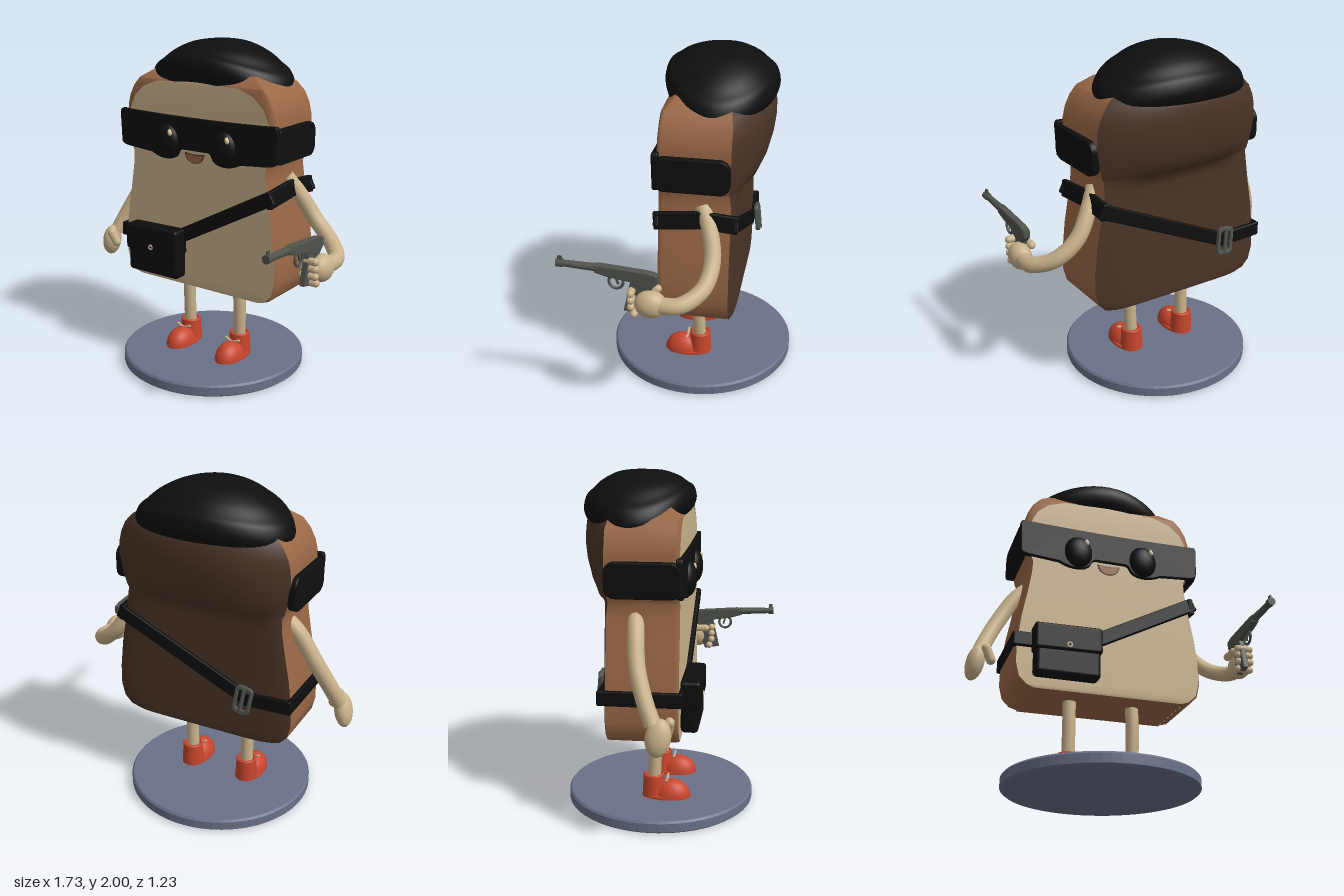
import * as THREE from 'three';
import { RoundedBoxGeometry } from 'three/addons/geometries/RoundedBoxGeometry.js';

const CX = -0.055; // centre line of the body
const mat = (name, color, side = THREE.FrontSide) => {
  const m = new THREE.MeshStandardMaterial({ color, side });
  m.name = name;
  return m;
};

// Surface from f(u, v), facing du x dv
function grid(nu, nv, f) {
  const pos = [], index = [];
  for (let j = 0; j <= nv; j++) for (let i = 0; i <= nu; i++) pos.push(...f(i / nu, j / nv, i, j));
  for (let j = 0; j < nv; j++) for (let i = 0; i < nu; i++) {
    const a = j * (nu + 1) + i, d = a + nu + 1;
    index.push(a, a + 1, d + 1, a, d + 1, d);
  }
  const g = new THREE.BufferGeometry();
  g.setAttribute('position', new THREE.Float32BufferAttribute(pos, 3));
  g.setIndex(index);
  g.computeVertexNormals();
  return g;
}

const poly = (pts) => new THREE.Shape(pts.map(p => new THREE.Vector2(...p)));

function roundRect(w, h, r, S = THREE.Shape) {
  const s = new S(), x = w / 2 - r, y = h / 2 - r;
  s.absarc(x, y, r, 0, Math.PI / 2);
  s.absarc(-x, y, r, Math.PI / 2, Math.PI);
  s.absarc(-x, -y, r, Math.PI, Math.PI * 1.5);
  s.absarc(x, -y, r, Math.PI * 1.5, Math.PI * 2);
  return s;
}

function extrude(shape, depth, bevel = 0) {
  const g = new THREE.ExtrudeGeometry(shape, {
    depth: depth - 2 * bevel, bevelEnabled: bevel > 0, bevelSize: bevel, bevelThickness: bevel,
    bevelOffset: -bevel, bevelSegments: 2, curveSegments: 10 });
  return g.translate(0, 0, -(depth - 2 * bevel) / 2);
}

// Shape drawn in (z, y), thick along x
const sideExtrude = (shape, depth, bevel) => extrude(shape, depth, bevel).rotateY(-Math.PI / 2);
const tube = (pts, r) => new THREE.TubeGeometry(
  new THREE.CatmullRomCurve3(pts.map(p => new THREE.Vector3(...p))), 28, r, 14);

export function createModel() {
  const root = new THREE.Group();
  root.name = 'toastFigure';
  const cream = mat('cream', 0xc9b28b), crust = mat('crust', 0x9a6846), dark = mat('darkCrust', 0x4a3427);
  const black = mat('black', 0x0e0e0e), red = mat('red', 0xc8452c), metal = mat('gunMetal', 0x50534c);
  const slate = mat('slate', 0x6a7188), shine = mat('shine', 0xe2cda6);
  const add = (name, geo, m, p = [0, 0, 0], r = [0, 0, 0], s = [1, 1, 1], parent = root) => {
    const mesh = new THREE.Mesh(geo, m);
    mesh.name = name;
    mesh.position.set(...p);
    mesh.rotation.set(...r);
    mesh.scale.set(...s);
    parent.add(mesh);
    return mesh;
  };
  const ball = new THREE.SphereGeometry(1, 24, 16);

  // Base
  add('base', new THREE.LatheGeometry([[0, 0], [0.55, 0], [0.565, 0.012], [0.565, 0.063], [0.555, 0.075], [0, 0.075]]
    .map(p => new THREE.Vector2(...p)), 64).toNonIndexed(), slate, [CX, 0, -0.055]).geometry.computeVertexNormals();

  // Body rows: y, half width, front half width, front z, back corner z, back z, roundness of the back
  const rows = [
    [0.52, 0.45, 0.44, 0.11, -0.29, -0.31, 8], [0.535, 0.50, 0.485, 0.115, -0.29, -0.315, 8],
    [0.58, 0.545, 0.53, 0.115, -0.29, -0.315, 8], [0.66, 0.565, 0.55, 0.115, -0.29, -0.315, 8],
    [0.78, 0.563, 0.55, 0.115, -0.29, -0.315, 8], [0.95, 0.543, 0.53, 0.115, -0.29, -0.315, 8],
    [1.1, 0.515, 0.502, 0.115, -0.29, -0.315, 8], [1.24, 0.492, 0.48, 0.115, -0.29, -0.315, 8],
    [1.315, 0.488, 0.476, 0.115, -0.28, -0.32, 8], [1.335, 0.5, 0.485, 0.115, -0.28, -0.395, 2.6],
    [1.42, 0.523, 0.505, 0.115, -0.285, -0.435, 2.4], [1.52, 0.535, 0.515, 0.115, -0.29, -0.46, 2.4],
    [1.6, 0.53, 0.49, 0.115, -0.29, -0.47, 2.4], [1.66, 0.515, 0.46, 0.115, -0.29, -0.47, 2.4],
    [1.72, 0.485, 0.395, 0.112, -0.29, -0.465, 2.4], [1.76, 0.45, 0.29, 0.11, -0.28, -0.45, 2.4],
    [1.77, 0.44, 0.01, 0.108, -0.28, -0.44, 2.4], [1.82, 0.36, 0.01, 0.06, -0.26, -0.39, 2.4],
    [1.86, 0.2, 0.01, -0.02, -0.22, -0.3, 2.4], [1.87, 0.01, 0.01, -0.1, -0.15, -0.16, 2.4]];
  const n = rows.length - 1;
  const side = (k, j, sign) => {
    const [y, w, fw, zf, zb] = rows[j], e = Math.min(w - fw, 0.012);
    const p = [[fw, zf], [w - e, zf - 0.006], [w, zf - 0.025], [w, (zf + zb) / 2], [w, zb]][k];
    return [CX + sign * p[0], y, p[1]];
  };
  add('breadFace', grid(2, n, (u, v, i, j) => [CX + (2 * u - 1) * rows[j][2], rows[j][0], rows[j][3]]), cream);
  add('crustLeft', grid(4, n, (u, v, i, j) => side(i, j, 1)), crust);
  add('crustRight', grid(4, n, (u, v, i, j) => side(4 - i, j, -1)), crust);
  add('breadBack', grid(28, n, (u, v, i, j) => {
    const [y, w, , , zc, zb, p] = rows[j], t = Math.cos(u * Math.PI);
    return [CX + t * w, y, zc + (zb - zc) * (1 - Math.abs(t) ** p)];
  }), dark);
  add('breadBottom', grid(1, 1, (u, v) => [CX + (2 * u - 1) * 0.45, 0.521, -0.31 + v * 0.42]), crust);

  // Cap: rolled rim and dome, drooping at the sides and leaning back
  const cap = new THREE.LatheGeometry(new THREE.SplineCurve([[0, 1.76], [0.8, 1.755], [0.93, 1.76], [1, 1.82],
    [0.95, 1.885], [0.84, 1.915], [0.68, 1.955], [0.42, 1.99], [0.15, 2], [0, 2]]
    .map(p => new THREE.Vector2(...p))).getPoints(44).map(p => new THREE.Vector2(Math.max(p.x, 0), Math.min(p.y, 2))), 56);
  const cp = cap.attributes.position;
  for (let i = 0; i < cp.count; i++) {
    const x = cp.getX(i), z = cp.getZ(i);
    cp.setXYZ(i, x * 0.47, cp.getY(i) - 0.09 * x * x + 0.025 * z * Math.abs(z), z * 0.32);
  }
  cap.computeVertexNormals();
  add('cap', cap, black, [CX - 0.012, 0, -0.165]);

  // Mask
  const m = new THREE.Shape();
  m.moveTo(-0.55, 1.575);
  m.quadraticCurveTo(0, 1.555, 0.55, 1.575);
  m.quadraticCurveTo(0.565, 1.57, 0.565, 1.54);
  m.lineTo(0.558, 1.37);
  m.quadraticCurveTo(0.55, 1.35, 0.5, 1.345);
  m.lineTo(0.32, 1.33);
  m.bezierCurveTo(0.25, 1.29, 0.14, 1.29, 0.12, 1.35);
  m.quadraticCurveTo(0.11, 1.375, 0.08, 1.372);
  m.lineTo(-0.08, 1.372);
  m.quadraticCurveTo(-0.11, 1.375, -0.12, 1.35);
  m.bezierCurveTo(-0.14, 1.29, -0.25, 1.29, -0.32, 1.33);
  m.lineTo(-0.5, 1.345);
  m.quadraticCurveTo(-0.55, 1.35, -0.558, 1.37);
  m.lineTo(-0.565, 1.54);
  m.quadraticCurveTo(-0.565, 1.57, -0.55, 1.575);
  add('maskFront', extrude(m, 0.035, 0.006), black, [CX, 0, 0.118]);
  for (const s of [-1, 1]) {
    add('maskSide', sideExtrude(roundRect(0.42, 0.2, 0.06), 0.05, 0.008), black, [CX + s * 0.54, 1.455, -0.08]);
    add('eye', ball, black, [CX + s * 0.205, 1.41, 0.125], [0, 0, 0], [0.088, 0.105, 0.055]);
    add('eyeShine', ball, shine, [CX + s * 0.205 + 0.045, 1.47, 0.162], [0, 0, 0.25], [0.013, 0.02, 0.012]);
  }

  // Mouth
  const smile = new THREE.Shape();
  smile.moveTo(-0.07, 0.035);
  smile.quadraticCurveTo(0, 0.02, 0.07, 0.035);
  smile.bezierCurveTo(0.065, -0.05, -0.065, -0.05, -0.07, 0.035);
  add('mouth', extrude(smile, 0.006), dark, [CX - 0.01, 1.322, 0.118]);
  add('tongue', extrude(smile, 0.006), crust, [CX - 0.01, 1.32, 0.121], [0, 0, 0], [0.85, 0.85, 1]);

  // Strap
  const strap = (x1, y1, x2, y2, z) => add('strap',
    new RoundedBoxGeometry(Math.hypot(x2 - x1, y2 - y1), 0.085, 0.03, 2, 0.008), black,
    [(x1 + x2) / 2, (y1 + y2) / 2, z], [0, 0, Math.atan2(y2 - y1, x2 - x1)]);
  strap(-0.2, 0.815, 0.48, 1.175, 0.122);
  strap(-0.63, 0.8, -0.45, 0.8, 0.122);
  strap(-0.36, 0.79, 0.48, 1.175, -0.322);
  strap(-0.63, 0.8, -0.33, 0.79, -0.322);
  add('strapSide', new RoundedBoxGeometry(0.035, 0.1, 0.25, 2, 0.008), black, [0.459, 1.165, 0.015], [0.1, 0, 0.16]);
  add('strapSide', new RoundedBoxGeometry(0.035, 0.1, 0.24, 2, 0.008), black, [0.459, 1.172, -0.215], [-0.08, 0, 0.16]);
  add('strapSide', new RoundedBoxGeometry(0.03, 0.085, 0.47, 2, 0.008), black, [-0.618, 0.8, -0.1]);

  // Buckle
  const frame = roundRect(0.11, 0.17, 0.03);
  frame.holes.push(roundRect(0.07, 0.12, 0.018, THREE.Path));
  add('buckle', extrude(frame, 0.025, 0.005), metal, [-0.35, 0.8, -0.36], [0.12, 0, 0.15]);
  add('buckleBar', new THREE.CylinderGeometry(0.012, 0.012, 0.15, 10), metal, [-0.35, 0.8, -0.37], [0.12, 0, 0.15]);

  // Pouch
  add('pouch', new RoundedBoxGeometry(0.38, 0.28, 0.1, 3, 0.025), black, [-0.325, 0.715, 0.165]);
  add('pouchFlap', new RoundedBoxGeometry(0.395, 0.16, 0.115, 3, 0.018), black, [-0.327, 0.8, 0.17], [0, 0, 0.02]);
  add('pouchButton', new THREE.TorusGeometry(0.013, 0.004, 8, 20), shine, [-0.325, 0.755, 0.228]);

  // Right arm, hanging
  add('rightArm', tube([[-0.5, 1.25, -0.13], [-0.58, 1.17, -0.12], [-0.68, 1.0, -0.1], [-0.755, 0.84, -0.05],
    [-0.8, 0.72, 0]], 0.047), cream);
  add('rightHand', ball, cream, [-0.82, 0.66, 0.03], [0.15, 0, -0.2], [0.052, 0.105, 0.07]);
  add('rightThumb', new THREE.CapsuleGeometry(0.028, 0.07, 6, 12), cream, [-0.755, 0.7, 0.08], [0.2, 0, 0.45]);

  // Left arm, bent forwards
  add('leftArm', tube([[0.41, 1.24, -0.13], [0.48, 1.13, -0.18], [0.57, 0.99, -0.21], [0.69, 0.885, -0.18],
    [0.79, 0.83, -0.07], [0.79, 0.82, 0.06]], 0.047), cream);
  add('leftHand', ball, cream, [0.785, 0.82, 0.09], [0, 0, 0], [0.065, 0.08, 0.09]);
  for (let i = 0; i < 4; i++)
    add('leftFinger', new THREE.CapsuleGeometry(0.022, 0.075, 6, 12), cream,
      [0.765, 0.885 - i * 0.042, 0.18 + (i < 3 ? 0.015 : 0)], [0, 0, Math.PI / 2]);
  add('leftThumb', new THREE.CapsuleGeometry(0.024, 0.09, 6, 12), cream, [0.72, 0.88, 0.11], [Math.PI / 2, 0, 0]);

  // Pistol
  const gun = new THREE.Group();
  gun.name = 'pistol';
  gun.position.x = 0.752;
  root.add(gun);
  const part = (name, geo, p, r) => add(name, geo, metal, p, r, [1, 1, 1], gun);
  part('receiver', sideExtrude(poly([[0.05, 0.94], [0.05, 0.985], [0.1, 1.0], [0.36, 1.02], [0.4, 1.02],
    [0.4, 0.975], [0.33, 0.955], [0.2, 0.935], [0.1, 0.89]]), 0.042, 0.006));
  part('grip', sideExtrude(poly([[0.06, 0.96], [0.2, 0.95], [0.245, 0.75], [0.15, 0.735]]), 0.036, 0.006));
  part('barrel', new THREE.CylinderGeometry(0.018, 0.023, 0.24, 16), [0, 1.003, 0.49], [Math.PI / 2 - 0.04, 0, 0]);
  part('muzzle', new THREE.CylinderGeometry(0.024, 0.024, 0.035, 16), [0, 1.008, 0.595], [Math.PI / 2, 0, 0]);
  part('frontSight', new THREE.BoxGeometry(0.01, 0.03, 0.025), [0, 1.035, 0.592]);
  part('triggerGuard', new THREE.TorusGeometry(0.04, 0.008, 8, 20), [0, 0.92, 0.285], [0, Math.PI / 2, 0]);
  part('trigger', new THREE.BoxGeometry(0.01, 0.05, 0.012), [0, 0.93, 0.28], [0.3, 0, 0]);

  // Legs and shoes
  for (const s of [-1, 1]) {
    const x = CX + s * 0.19;
    add('leg', tube([[x, 0.56, -0.065], [x + (s > 0 ? 0.005 : 0), 0.38, -0.062], [x, 0.16, -0.07]], 0.039), cream);
    const shoe = new THREE.Group();
    shoe.name = 'shoe';
    shoe.position.set(x, 0.075, 0);
    root.add(shoe);
    const p = (name, geo, m, pos, r, sc) => add(name, geo, m, pos, r, sc, shoe);
    p('heel', new THREE.CylinderGeometry(0.062, 0.07, 0.13, 24), red, [0, 0.067, -0.072]);
    p('collar', new THREE.TorusGeometry(0.054, 0.01, 8, 24), red, [0, 0.13, -0.072], [Math.PI / 2, 0, 0]);
    p('toe', new THREE.SphereGeometry(1, 24, 12, 0, Math.PI * 2, 0, Math.PI / 2), red, [0, 0, 0.035], [0, 0, 0], [0.082, 0.105, 0.112]);
    p('sole', new THREE.CylinderGeometry(1, 1, 0.014, 32), red, [0, 0.007, 0.005], [0, 0, 0], [0.084, 1, 0.145]);
    for (const t of [-1, 1])
      p('lace', new THREE.CapsuleGeometry(0.008, 0.05, 4, 8), cream, [t * 0.025, 0.104, 0.008], [0, 0, Math.PI / 2 + t * 0.4]);
  }
  return root;
}
